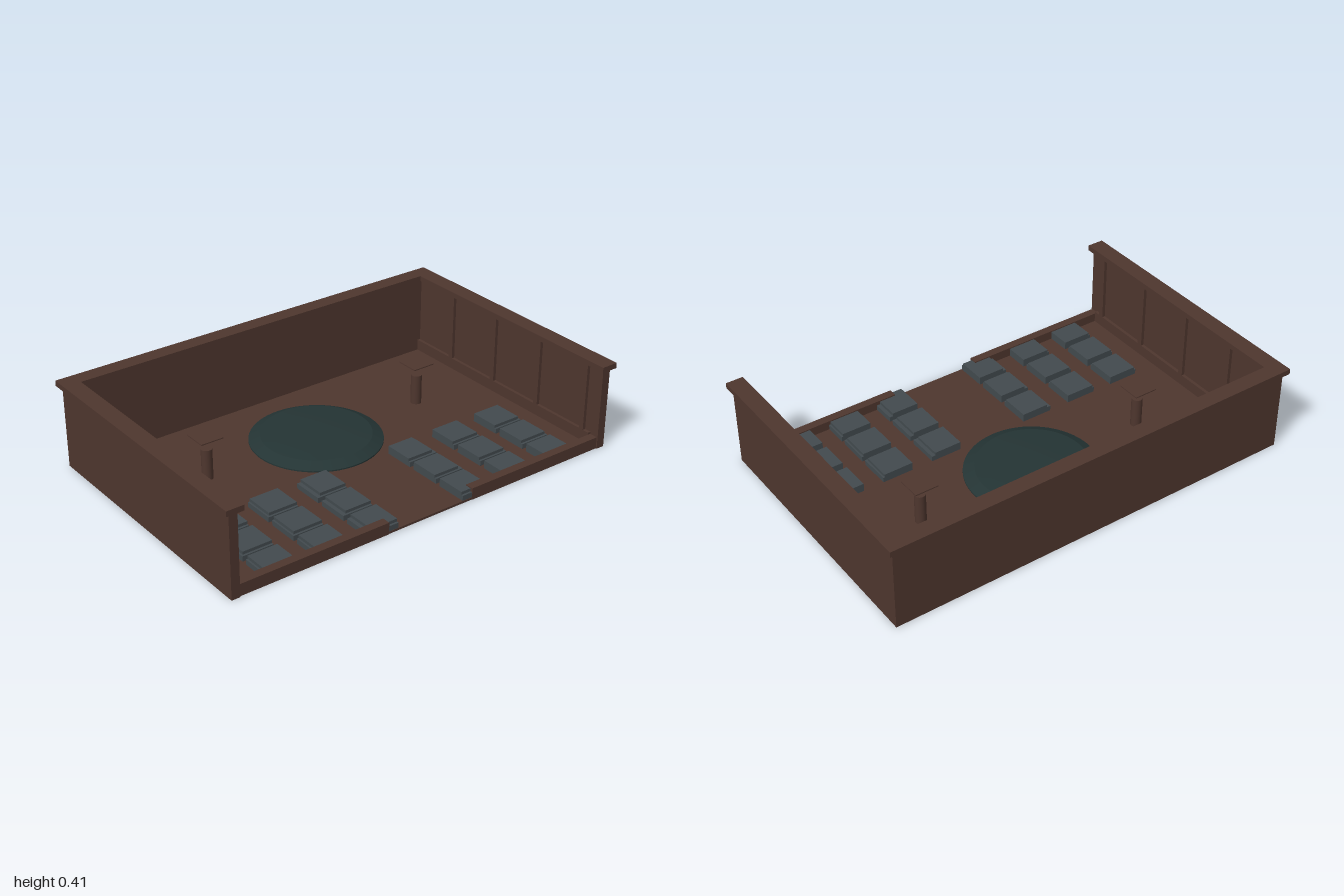
import * as THREE from 'three';

const mat = (name, color) => {
  const m = new THREE.MeshStandardMaterial({ color });
  m.name = name;
  return m;
};

export function createModel() {
  const group = new THREE.Group();
  const wood = mat('brown wood', 0x4e362e);
  const slate = mat('grey slate', 0x424a4e);
  const glass = mat('dark teal', 0x243434);

  // Box given by its lower and upper corners
  const box = (name, material, [x0, y0, z0], [x1, y1, z1]) => {
    const geo = new THREE.BoxGeometry(x1 - x0, y1 - y0, z1 - z0);
    const mesh = new THREE.Mesh(geo, material);
    mesh.position.set((x0 + x1) / 2, (y0 + y1) / 2, (z0 + z1) / 2);
    mesh.name = name;
    group.add(mesh);
  };
  // Box and its mirror image across x = 0
  const pair = (name, material, a, b) => {
    box(name, material, a, b);
    box(name, material, [-b[0], a[1], a[2]], [-a[0], b[1], b[2]]);
  };

  // Floor with a round opening for the dome
  const plan = new THREE.Shape();
  plan.moveTo(-0.94, -0.625).lineTo(0.94, -0.625).lineTo(0.94, 0.6).lineTo(-0.94, 0.6);
  plan.closePath();
  plan.holes.push(new THREE.Path().absarc(0, 0.17, 0.29, 0, Math.PI * 2, true));
  const floorGeo = new THREE.ExtrudeGeometry(plan, { depth: 0.01, bevelEnabled: false, curveSegments: 32 });
  floorGeo.rotateX(-Math.PI / 2);
  const floor = new THREE.Mesh(floorGeo, wood);
  floor.position.y = 0.002;
  floor.name = 'floor';
  group.add(floor);

  // Walls and the overhanging top rim
  pair('sideWall', wood, [0.94, 0, -0.63], [0.98, 0.385, 0.63]);
  box('backWall', wood, [-0.94, 0, -0.63], [0.94, 0.385, -0.59]);
  pair('sideRim', wood, [0.92, 0.385, -0.65], [1, 0.41, 0.647]);
  box('backRim', wood, [-0.92, 0.385, -0.65], [0.92, 0.41, -0.575]);

  // Low front kerb with an entrance gap
  pair('frontKerb', wood, [0.22, 0, 0.585], [0.94, 0.055, 0.625]);

  // Ribs and skirting on the inner side walls
  for (const z of [0.54, 0.245, -0.05, -0.345]) {
    pair('wallRib', wood, [0.925, 0.06, z - 0.0125], [0.94, 0.385, z + 0.0125]);
  }
  pair('skirting', wood, [0.925, 0.012, -0.59], [0.94, 0.065, 0.585]);

  // Layered slate tiles in three rows on each side
  for (const z of [0.13, 0.303, 0.475]) {
    for (const [x, inset] of [[0.17, 0.018], [0.418, 0.008], [0.662, 0.008]]) {
      pair('tileBase', slate, [x, 0, z], [x + 0.148, 0.036, z + 0.148]);
      pair('tileTop', slate, [x, 0.036, z], [x + 0.148 - inset, 0.05, z + 0.138]);
    }
  }

  // Shallow dome with a sloping border
  const half = [[0.3, 0.018], [0.25, 0.042]];
  const top = [0.25, 0.2, 0.15, 0.1, 0.05, 0].map((r) => [r, 0.053 - 0.176 * r * r]);
  const lathe = (name, pts) => {
    const geo = new THREE.LatheGeometry(pts.map(([r, y]) => new THREE.Vector2(r, y)), 64);
    const mesh = new THREE.Mesh(geo, glass);
    mesh.position.z = -0.17;
    mesh.name = name;
    group.add(mesh);
  };
  lathe('domeUnderside', [[0, 0], [0.15, 0], [0.3, 0.001]]);
  lathe('domeEdge', [[0.3, 0.001], [0.3, 0.018]]);
  lathe('domeBorder', half);
  lathe('domeTop', top);

  // Posts with square plates floating above them
  for (const x of [-0.57, 0.57]) {
    const post = new THREE.Mesh(new THREE.CylinderGeometry(0.025, 0.025, 0.155, 20), wood);
    post.position.set(x, 0.0775, -0.17);
    post.name = 'post';
    group.add(post);
  }
  pair('postPlate', wood, [0.515, 0.208, -0.228], [0.625, 0.213, -0.118]);

  return group;
}
